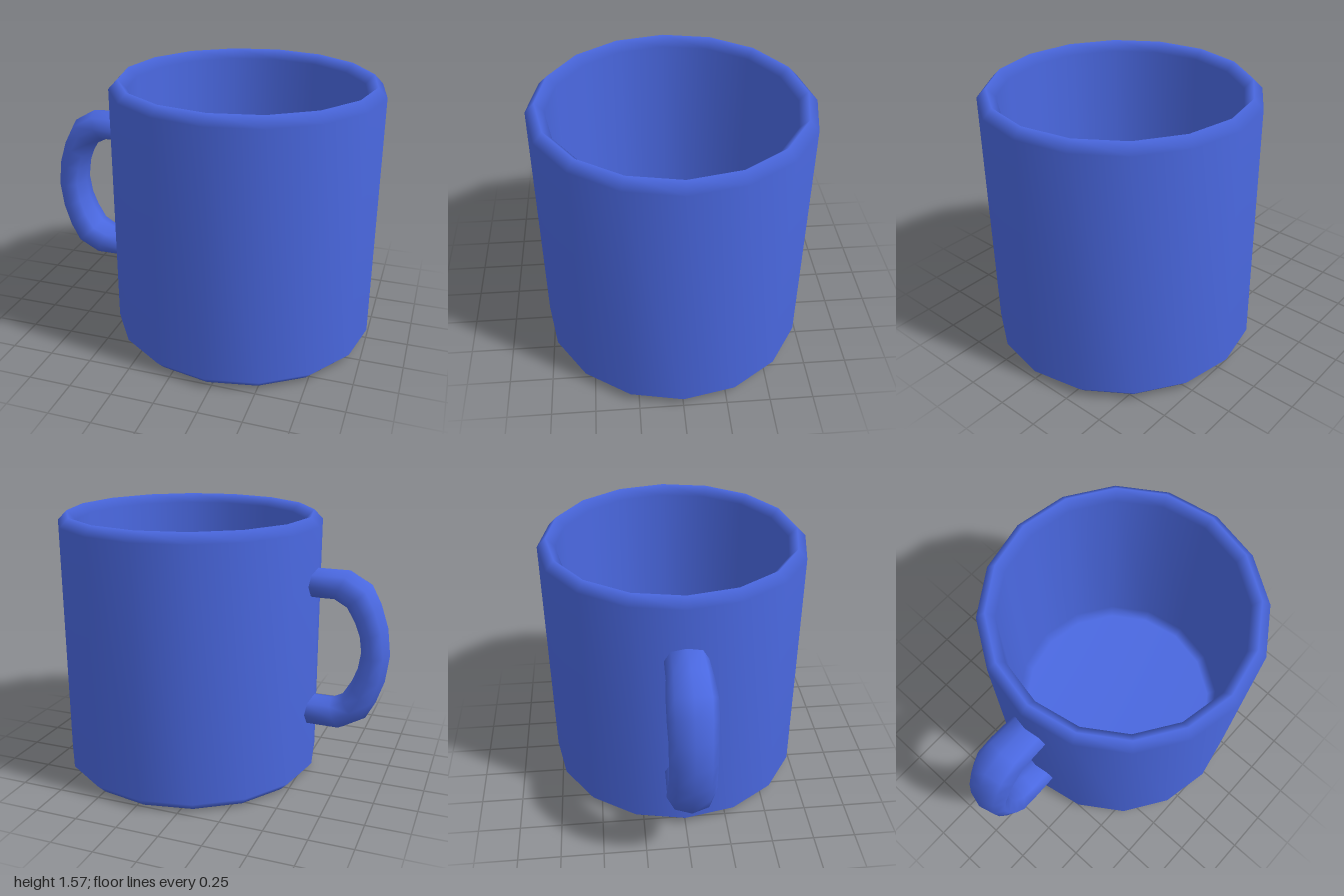
import * as THREE from 'three';

const material = new THREE.MeshStandardMaterial({ color: 0x4a68e0 });

// Cup: one turned profile, outside from the base up, then inside down to the floor
function createCup() {
  const profile = [
    [0, 0], [0.73, 0], [0.783, 0.055], [0.783, 1.515], [0.73, 1.57],
    [0.68, 1.515], [0.68, 0.17], [0.63, 0.12], [0, 0.12],
  ].map(([r, y]) => new THREE.Vector2(r, y));
  const cup = new THREE.Mesh(new THREE.LatheGeometry(profile, 16), material);
  cup.name = 'cup';
  cup.position.x = 0.217;
  return cup;
}

// Handle: oval rings set between matching points of the outer and inner curve
function createHandle() {
  const midY = 0.81;
  // outer x, outer height, inner x, inner height, half width (heights from midY)
  const upper = [
    [-0.53, 0.475, -0.53, 0.3, 0.12],
    [-0.75, 0.475, -0.67, 0.3, 0.125],
    [-0.88, 0.4, -0.74, 0.265, 0.135],
    [-0.935, 0.295, -0.79, 0.18, 0.135],
    [-0.98, 0.16, -0.82, 0.1, 0.13],
  ];
  const lower = upper.map(([ox, oy, ix, iy, w]) => [ox, -oy, ix, -iy, w]).reverse();
  const stations = [...upper, [-1, 0, -0.835, 0, 0.13], ...lower];
  const sides = 8;
  const positions = [];
  const indices = [];
  stations.forEach(([ox, oy, ix, iy, width], i) => {
    for (let j = 0; j < sides; j++) {
      const angle = (j / sides) * Math.PI * 2;
      const t = (1 + Math.cos(angle)) / 2;
      positions.push(
        THREE.MathUtils.lerp(ix, ox, t),
        midY + THREE.MathUtils.lerp(iy, oy, t),
        width * Math.sin(angle),
      );
      if (i === stations.length - 1) continue;
      const a = i * sides + j;
      const c = i * sides + ((j + 1) % sides);
      indices.push(a, a + sides, c, c, a + sides, c + sides);
    }
  });
  const geometry = new THREE.BufferGeometry();
  geometry.setAttribute('position', new THREE.Float32BufferAttribute(positions, 3));
  geometry.setIndex(indices);
  geometry.computeVertexNormals();
  const handle = new THREE.Mesh(geometry, material);
  handle.name = 'handle';
  return handle;
}

export function createModel() {
  const mug = new THREE.Group();
  mug.name = 'mug';
  mug.add(createCup(), createHandle());
  return mug;
}
